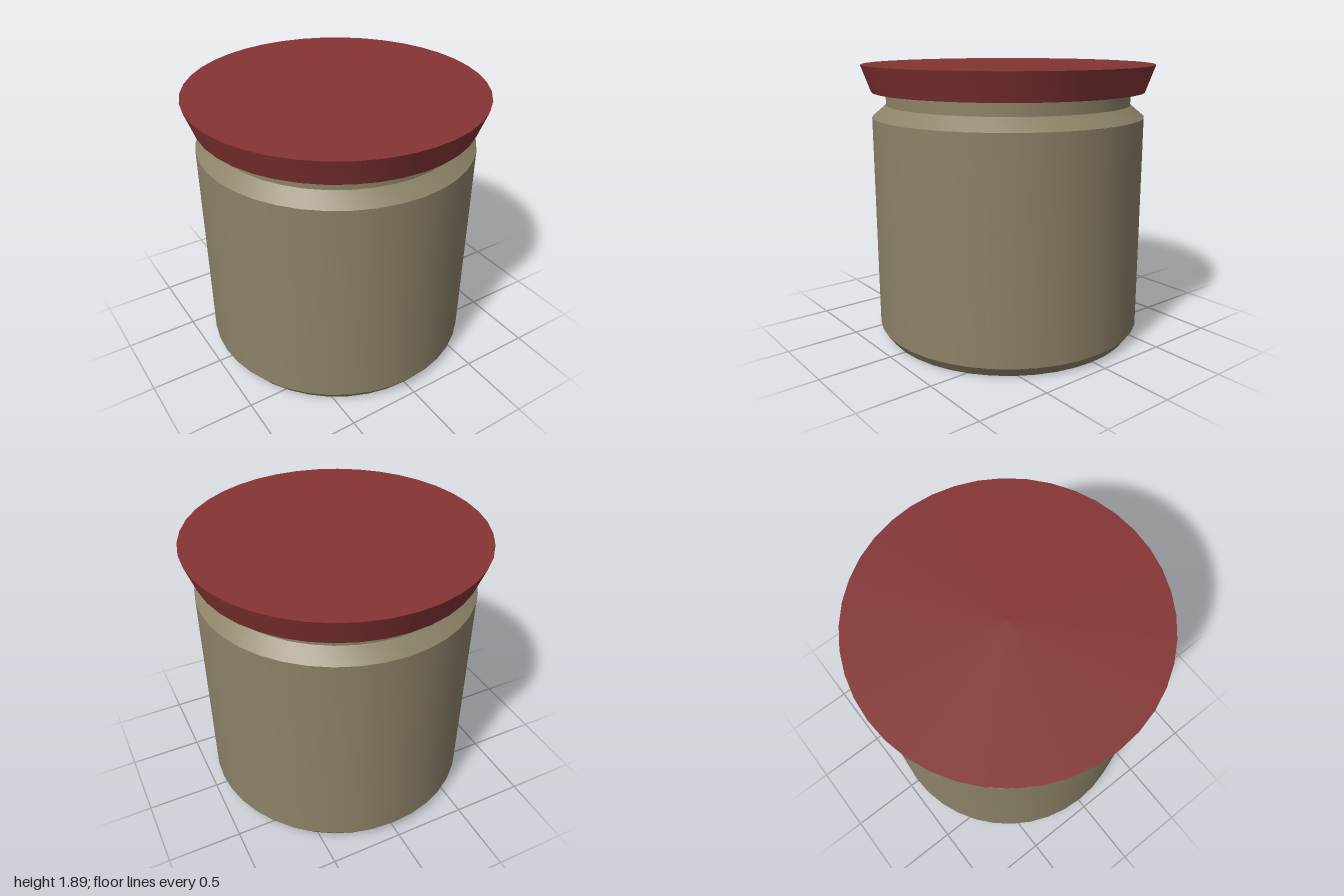
import * as THREE from 'three';
import { toCreasedNormals } from 'three/addons/utils/BufferGeometryUtils.js';

const SIDES = 40;

// Turned part from a [radius, height] profile, with sharp edges between its bands
function turned(name, profile, color) {
  const points = profile.map(([r, y]) => new THREE.Vector2(r, y));
  const geometry = toCreasedNormals(new THREE.LatheGeometry(points, SIDES), 0.5);
  const mesh = new THREE.Mesh(geometry, new THREE.MeshStandardMaterial({ color }));
  mesh.name = name;
  return mesh;
}

export function createModel() {
  const jar = new THREE.Group();
  jar.name = 'jar';

  // Body: base, bottom chamfer, wall, shoulder, neck and the ledge beneath the lid
  jar.add(turned('body', [
    [0, 0], [0.885, 0], [0.935, 0.07], [0.935, 1.54],
    [0.84, 1.62], [0.84, 1.71], [0.935, 1.71],
  ], 0x8c8268));

  // Lid: flared rim and flat top
  jar.add(turned('lid', [[0.935, 1.71], [1, 1.89], [0, 1.89]], 0x853434));

  return jar;
}
